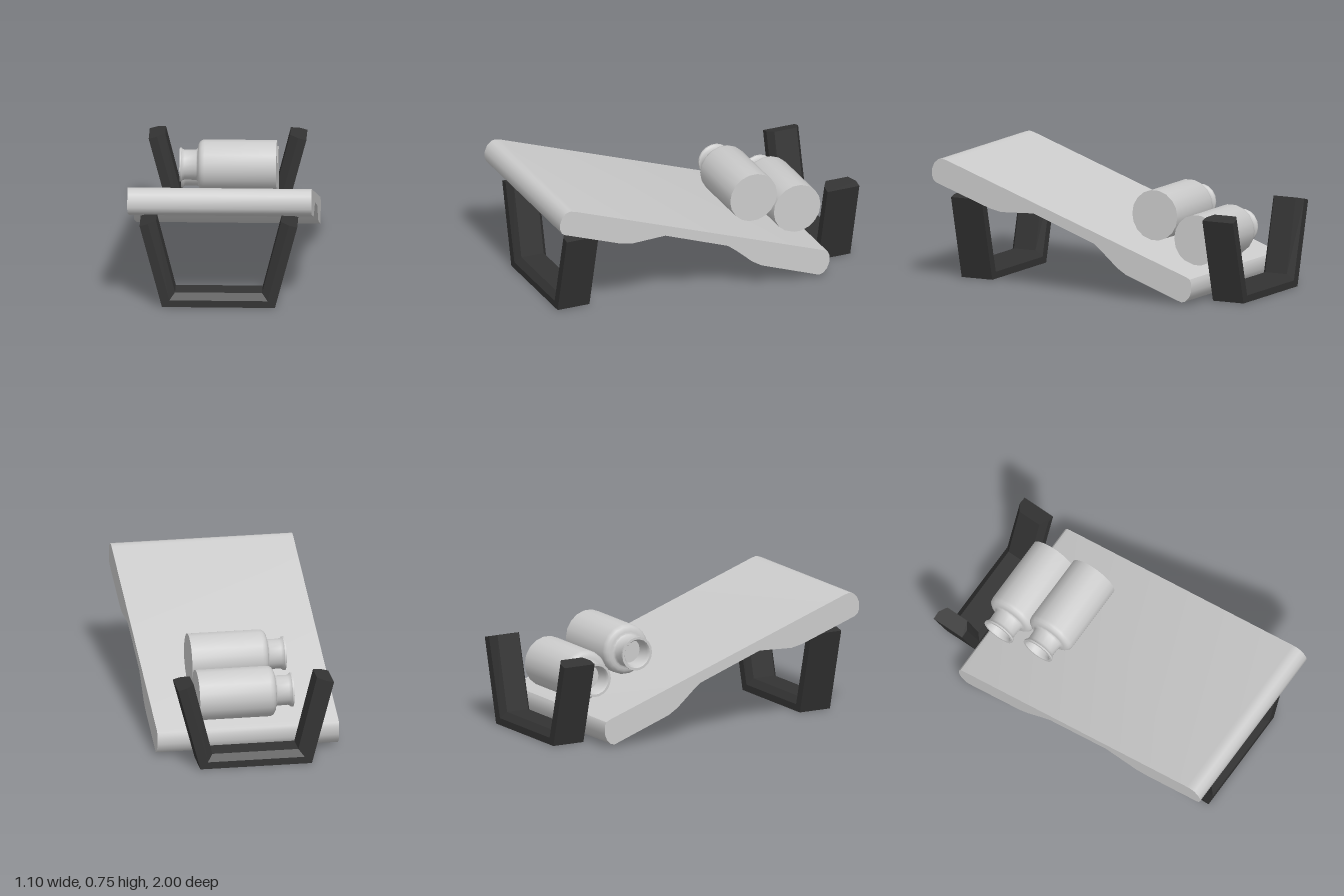
import * as THREE from 'three';
import { toCreasedNormals } from 'three/addons/utils/BufferGeometryUtils.js';

const grey = new THREE.MeshStandardMaterial({ color: 0xcccccc });
const black = new THREE.MeshStandardMaterial({ color: 0x333333, flatShading: true });

// Sloping board: side profile (z, y) extruded across x
function createBoard() {
  const profile = [
    [0.93, 0.75], [0.9, 0.743], [-0.73, 0.17], [-0.752, 0.158], [-0.763, 0.135],
    [-0.763, 0.085], [-0.748, 0.048], [-0.722, 0.022], [-0.695, 0.015],
    [-0.32, 0.15], [-0.26, 0.187], [-0.15, 0.283], [-0.1, 0.322],
    [0.31, 0.47], [0.53, 0.46], [0.607, 0.476], [0.97, 0.603],
    [0.988, 0.617], [0.999, 0.645], [0.998, 0.685], [0.982, 0.722], [0.957, 0.744],
  ];
  const shape = new THREE.Shape(profile.map(([z, y]) => new THREE.Vector2(z, y)));
  const geometry = new THREE.ExtrudeGeometry(shape, { depth: 1.1, bevelEnabled: false });
  geometry.translate(0, 0, -0.55).rotateY(-Math.PI / 2);
  const board = new THREE.Mesh(toCreasedNormals(geometry, 0.6), grey);
  board.name = 'slopingBoard';
  return board;
}

// U-shaped bracket: chamfered bar swept through four mitred stations
function createBracket(name, z) {
  const top = [[0.471, 0.505], [0.422, 0.518], [0.373, 0.53]];
  const foot = [[0.3375, 0], [0.293, 0.042], [0.26, 0.083]];
  const halfDepth = [0.104, 0.104, 0.073];
  const rings = [[top, 1], [foot, 1], [foot, -1], [top, -1]].map(([points, side]) =>
    [0, 1, 2, 2, 1, 0].map((k, i) =>
      [points[k][0] * side, points[k][1], i < 3 ? halfDepth[k] : -halfDepth[k]]));
  const positions = [];
  const triangle = (a, b, c) => positions.push(...a, ...b, ...c);
  for (let s = 0; s < 3; s++) {
    const [a, b] = [rings[s], rings[s + 1]];
    for (let i = 0; i < 6; i++) {
      const j = (i + 1) % 6;
      triangle(a[i], a[j], b[j]);
      triangle(a[i], b[j], b[i]);
    }
  }
  // End caps
  for (let i = 1; i < 5; i++) {
    triangle(rings[0][0], rings[0][i + 1], rings[0][i]);
    triangle(rings[3][0], rings[3][i], rings[3][i + 1]);
  }
  const geometry = new THREE.BufferGeometry();
  geometry.setAttribute('position', new THREE.Float32BufferAttribute(positions, 3));
  geometry.computeVertexNormals();
  const bracket = new THREE.Mesh(geometry, black);
  bracket.name = name;
  bracket.position.set(-0.008, 0, z);
  return bracket;
}

// Bottle lying on its side, neck towards -x
function createBottle(name, y, z) {
  const points = [[0, 0], [0.153, 0], [0.153, 0.43]];
  // Rounded shoulder
  for (let i = 1; i <= 4; i++) {
    const angle = (i / 4) * Math.PI / 2;
    points.push([0.113 + 0.04 * Math.cos(angle), 0.43 + 0.04 * Math.sin(angle)]);
  }
  // Neck, flared lip and recessed mouth
  points.push([0.1, 0.472], [0.092, 0.482], [0.09, 0.55], [0.095, 0.563],
    [0.103, 0.57], [0.103, 0.58], [0.088, 0.58], [0.078, 0.565], [0.075, 0.48], [0, 0.48]);
  const geometry = new THREE.LatheGeometry(points.map(([r, h]) => new THREE.Vector2(r, h)), 18);
  const bottle = new THREE.Mesh(toCreasedNormals(geometry, 0.75), grey);
  bottle.name = name;
  bottle.rotation.z = Math.PI / 2;
  bottle.position.set(0.3, y, z);
  return bottle;
}

export function createModel() {
  const model = new THREE.Group();
  model.name = 'bottleRamp';
  model.add(
    createBoard(),
    createBracket('frontBracket', 0.812),
    createBracket('backBracket', -0.895),
    createBottle('upperBottle', 0.478, -0.38),
    createBottle('lowerBottle', 0.35, -0.665),
  );
  return model;
}
